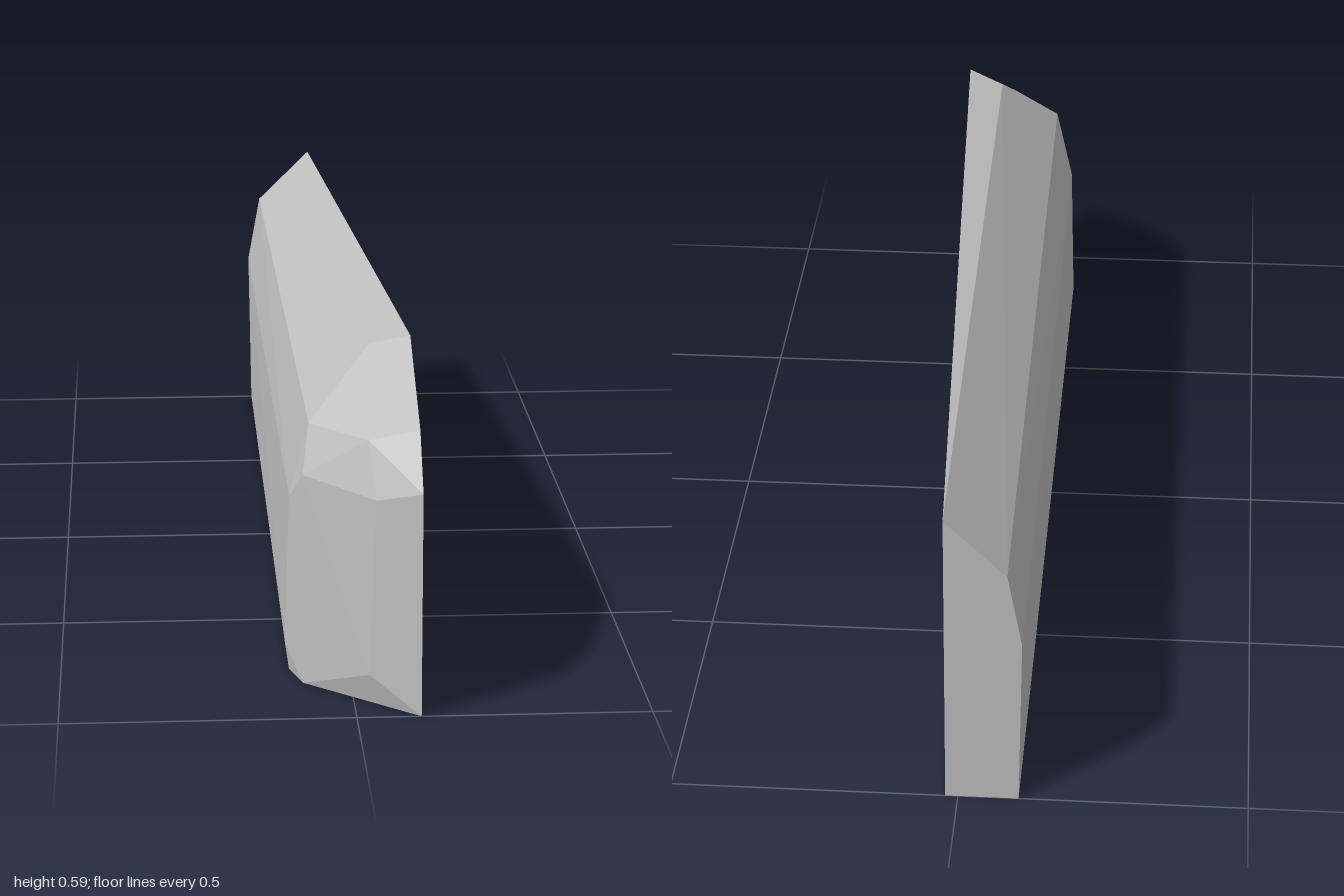
import * as THREE from 'three';
import { ConvexGeometry } from 'three/addons/geometries/ConvexGeometry.js';

export function createModel() {
  const grey = new THREE.MeshStandardMaterial({ color: 0xbfbfbf });
  grey.name = 'plain grey';

  // flat tail section, narrow towards the back
  const tail = [
    [-0.105, 0, -1], [-0.11, 0.32, -1], [-0.085, 0.455, -1], [0.022, 0.56, -1], [0.022, 0, -1],
  ];
  // inner edge of the nose, lying along the widest side
  const innerEdge = [
    [0.109, 0, 1], [0.109, 0.39, 1], [0.109, 0.48, 0.93], [0.109, 0.587, 0.715],
  ];
  // middle of the nose
  const middle = [
    [0.025, 0.055, 0.945], [0.035, 0.365, 0.95], [0.025, 0.455, 0.9], [0.04, 0.567, 0.69],
  ];
  // outer shoulder and chamfered lower corner
  const shoulder = [
    [-0.082, 0, 0.83], [-0.082, 0.375, 0.83], [-0.07, 0.455, 0.79],
    [-0.103, 0, 0.76], [-0.11, 0.05, 0.765], [-0.103, 0.32, 0.775],
  ];

  const points = [...tail, ...innerEdge, ...middle, ...shoulder].map((p) => new THREE.Vector3(...p));
  const body = new THREE.Mesh(new ConvexGeometry(points), grey);
  body.name = 'facetedBody';

  const model = new THREE.Group();
  model.name = 'facetedBlock';
  model.add(body);
  return model;
}
